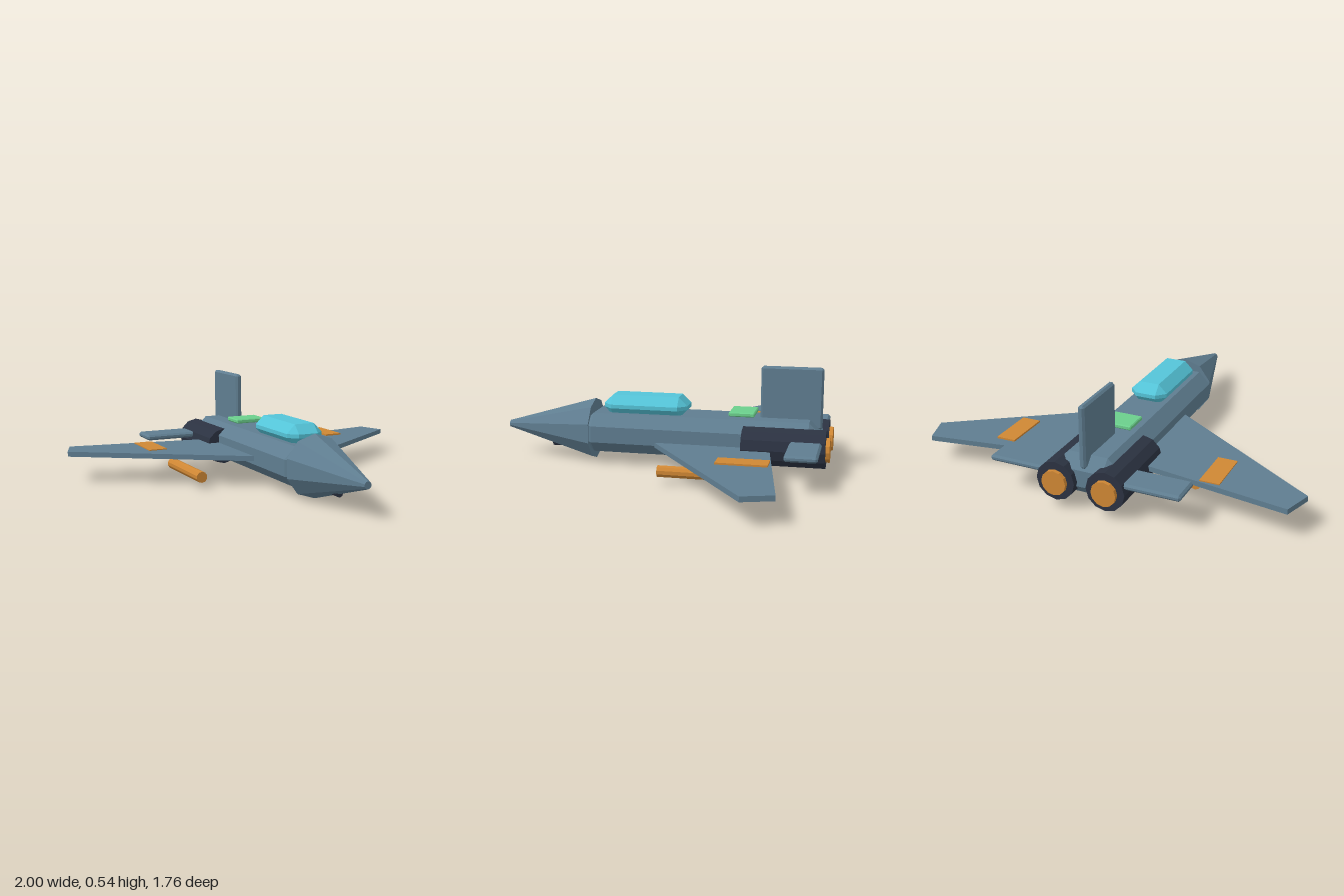
import * as THREE from 'three';
import { ConvexGeometry } from 'three/addons/geometries/ConvexGeometry.js';

const paint = (name, color) => {
  const m = new THREE.MeshStandardMaterial({ color });
  m.name = name;
  return m;
};

// Facet a geometry so that every face is flat
function faceted(geometry) {
  const g = geometry.index ? geometry.toNonIndexed() : geometry;
  g.computeVertexNormals();
  return g;
}

// Box from min to max with every edge cut by c
function chamferBox(min, max, c) {
  const mid = min.map((v, i) => (v + max[i]) / 2);
  const half = max.map((v, i) => (v - min[i]) / 2);
  const points = [];
  for (const sx of [-1, 1]) for (const sy of [-1, 1]) for (const sz of [-1, 1]) {
    const s = [sx, sy, sz];
    for (let axis = 0; axis < 3; axis++) {
      points.push(new THREE.Vector3(...s.map((sign, i) => mid[i] + sign * (half[i] - (i === axis ? 0 : c)))));
    }
  }
  return new ConvexGeometry(points);
}

// Cylinder or cone lying along z
function tubeZ(x, y, z0, z1, rFront, rBack, sides) {
  const g = new THREE.CylinderGeometry(rFront, rBack, z1 - z0, sides);
  g.rotateX(Math.PI / 2).translate(x, y, (z0 + z1) / 2);
  return faceted(g);
}

// Flat swept wing; side is +1 or -1
function wingPlate(side, y0, y1) {
  const outline = [[0.1, 0.064], [1, -0.55], [0.95, -0.7], [0.1, -0.567]];
  const points = [];
  for (const [x, z] of outline) for (const y of [y0, y1]) points.push(new THREE.Vector3(side * x, y, z));
  return new ConvexGeometry(points);
}

export function createModel() {
  const hull = paint('blue grey hull', 0x5f7d90);
  const dark = paint('dark metal', 0x2b3241);
  const orange = paint('orange', 0xcf8734);
  const glass = paint('cyan glass', 0x54c4d8);
  const green = paint('green', 0x6bcf8c);

  const model = new THREE.Group();
  model.name = 'jet';
  const add = (name, geometry, material) => {
    const mesh = new THREE.Mesh(geometry, material);
    mesh.name = name;
    model.add(mesh);
  };

  // Centre line
  add('fuselage', chamferBox([-0.163, 0.063, -0.83], [0.163, 0.271, 0.43], 0.061), hull);
  add('noseCone', tubeZ(0, 0.166, 0.385, 0.88, 0.019, 0.165, 10), hull);
  add('canopy', chamferBox([-0.1, 0.253, -0.13], [0.1, 0.365, 0.32], 0.046), glass);
  add('dorsalPanel', chamferBox([-0.085, 0.282, -0.488], [0.085, 0.305, -0.353], 0.005), green);
  add('tailFin', chamferBox([-0.017, 0.22, -0.83], [0.017, 0.54, -0.51], 0.01), hull);
  add('noseGun', tubeZ(0, 0.076, 0.23, 0.63, 0.02, 0.02, 8), dark);

  // Wings, the left one set slightly lower
  add('leftWing', wingPlate(1, 0.115, 0.141), hull);
  add('rightWing', wingPlate(-1, 0.141, 0.168), hull);

  // Paired parts
  for (const [label, s] of [['left', 1], ['right', -1]]) {
    const span = (a, b) => (s > 0 ? [a, b] : [-b, -a]);
    const [t0, t1] = span(0.15, 0.497);
    add(label + 'Tailplane', chamferBox([t0, 0.166, -0.843], [t1, 0.197, -0.682], 0.01), hull);
    add(label + 'Engine', tubeZ(s * 0.13, 0.146, -0.86, -0.437, 0.1, 0.1, 12), dark);
    add(label + 'Nozzle', tubeZ(s * 0.13, 0.143, -0.88, -0.84, 0.064, 0.064, 12), orange);
    add(label + 'Missile', tubeZ(s * 0.425, 0.065, -0.485, -0.058, 0.03, 0.03, 10), orange);

    const panel = new THREE.BoxGeometry(0.1, 0.009, 0.25);
    panel.translate(s * 0.55, 0.169, -0.497);
    add(label + 'WingPanel', panel, orange);
  }
  return model;
}
